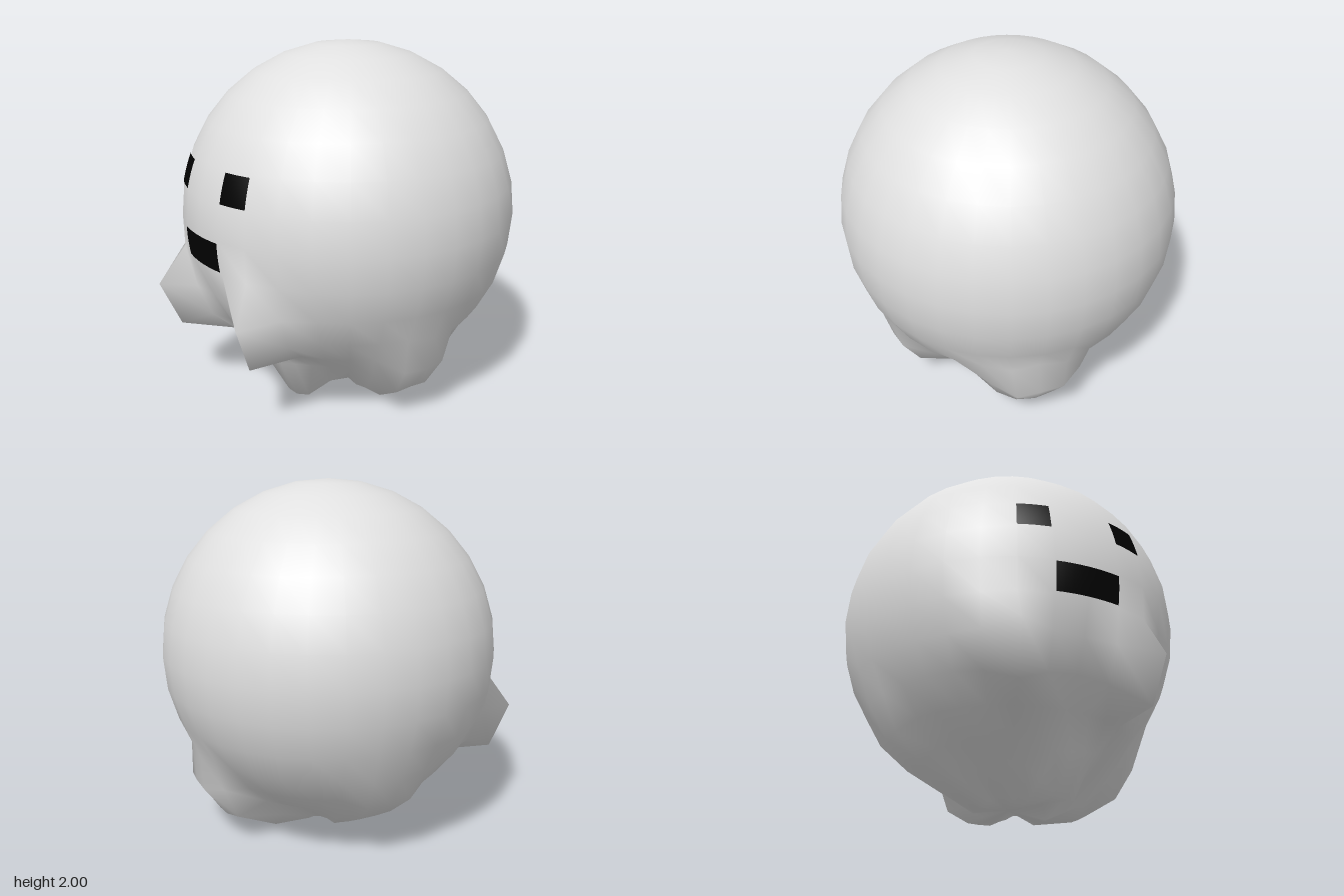
import * as THREE from 'three';
import { mergeVertices } from 'three/addons/utils/BufferGeometryUtils.js';

const CENTER = new THREE.Vector3(0.035, 1.06, 0);
const RADIUS = 0.94;
const STEP = Math.PI / 16;

// Point on the ball: rings count down from the equator, spokes turn from -x towards +z
function onBall(ring, spoke) {
  return new THREE.Vector3()
    .setFromSphericalCoords(RADIUS, Math.PI / 2 + ring * STEP, spoke * STEP - Math.PI / 2)
    .add(CENTER);
}

// Soft pulls that drag a spot of the ball, and what is near it, to a target
const pulls = [];
function pull(ring, spoke, x, y, z, reach) {
  const anchor = onBall(ring, spoke);
  pulls.push({ anchor, shift: new THREE.Vector3(x, y, z).sub(anchor), reach });
}

// Pointed arm stubs, the front one a little shorter
for (const side of [-1, 1]) {
  pull(2, 2 * side, -0.95 + 0.03 * side, 0.66, 0.41 * side, 0.21);
  pull(3, 2 * side, -0.85 + 0.02 * side, 0.4, 0.37 * side, 0.2);
}
// Side bulge
for (const turn of [0, 1]) {
  pull(4, 16 - 2 * turn, 0.81 - 0.02 * turn, 0.33, 0.27 * turn, 0.23);
  pull(5, 16 - 2 * turn, 0.7 - 0.04 * turn, 0.14, 0.22 * turn, 0.23);
}
pull(6, 16, 0.42, 0.05, 0, 0.22);
// Front bulge
pull(4, 8, 0.035, 0.34, 0.72, 0.26);
pull(5, 8, 0.035, 0.15, 0.64, 0.3);
pull(6, 8, 0.035, 0.03, 0.42, 0.25);
// Back bulge
pull(4, -8, 0.035, 0.35, -0.7, 0.3);
pull(5, -8, 0.035, 0.22, -0.55, 0.3);
pull(6, -8, 0.035, 0.12, -0.37, 0.25);
// Lumps underneath
pull(5, 0, -0.51, 0.22, 0, 0.2);
pull(6, 2, -0.4, 0.02, 0.12, 0.22);
pull(7, 0, -0.19, 0.04, 0, 0.2);
pull(7, 8, 0.035, 0, 0.2, 0.2);
pull(7, 16, 0.22, 0.03, 0, 0.2);
pull(7, -8, 0.02, 0.02, -0.19, 0.2);
pull(8, 0, 0.035, 0.05, 0, 0.15);

// Smooth ball with the pulls applied
function bodyGeometry() {
  let geo = new THREE.SphereGeometry(RADIUS, 32, 16);
  geo.deleteAttribute('uv');
  geo.deleteAttribute('normal');
  geo = mergeVertices(geo, 1e-4);
  geo.translate(CENTER.x, CENTER.y, CENTER.z);
  const pos = geo.attributes.position;
  const v = new THREE.Vector3();
  const move = new THREE.Vector3();
  for (let i = 0; i < pos.count; i++) {
    v.fromBufferAttribute(pos, i);
    move.set(0, 0, 0);
    let total = 0;
    for (const { anchor, shift, reach } of pulls) {
      const w = 1 - THREE.MathUtils.smoothstep(v.distanceTo(anchor), reach * 0.2, reach);
      move.addScaledVector(shift, w);
      total += w;
    }
    v.addScaledVector(move, 1 / Math.max(1, total));
    pos.setXYZ(i, v.x, Math.max(0, v.y), v.z);
  }
  geo.computeVertexNormals();
  return geo;
}

export function createModel() {
  const model = new THREE.Group();
  const grey = new THREE.MeshStandardMaterial({ color: 0xe0e0e0 });
  grey.name = 'light grey';
  const black = new THREE.MeshStandardMaterial({ color: 0x010101 });
  black.name = 'black';

  const body = new THREE.Mesh(bodyGeometry(), grey);
  body.name = 'body';
  model.add(body);

  // Thin curved patch lying on the ball, facing -x
  function patch(name, phi, width, theta, height) {
    const mesh = new THREE.Mesh(
      new THREE.SphereGeometry(RADIUS + 0.004, 8, 6, phi - width / 2, width, theta - height / 2, height),
      black
    );
    mesh.name = name;
    mesh.position.copy(CENTER);
    model.add(mesh);
  }
  patch('eyeBack', -0.3, 0.19, 1.278, 0.17);
  patch('eyeFront', 0.3, 0.19, 1.278, 0.17);
  patch('mouth', 0, 0.38, 1.667, 0.17);

  return model;
}
